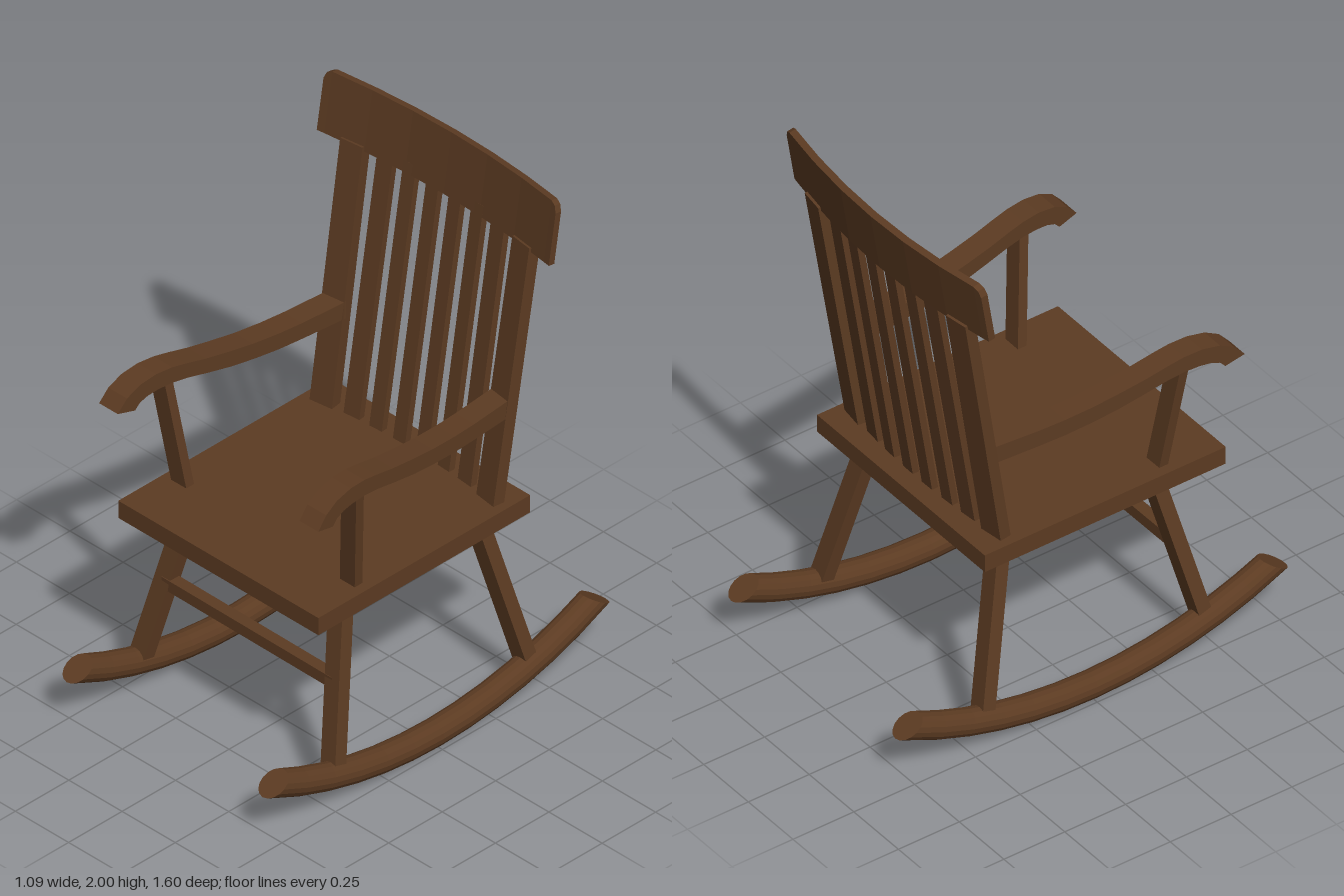
import * as THREE from 'three';

const wood = new THREE.MeshStandardMaterial({ color: 0x5c3b22 });
wood.name = 'brown wood';

// Closed, faceted solid through a list of equal-sized cross-sections
function loft(rings) {
  const n = rings[0].length, last = (rings.length - 1) * n, index = [];
  for (let i = 0; i < rings.length - 1; i++) {
    for (let j = 0; j < n; j++) {
      const a = i * n + j, b = i * n + (j + 1) % n;
      index.push(a, b, b + n, a, b + n, a + n);
    }
  }
  for (let j = 1; j < n - 1; j++) {
    index.push(0, j + 1, j, last, last + j, last + j + 1);
  }
  const g = new THREE.BufferGeometry();
  g.setAttribute('position', new THREE.Float32BufferAttribute(rings.flat(2), 3));
  g.setIndex(index);
  const flat = g.toNonIndexed();
  flat.computeVertexNormals();
  return flat;
}

// Square-section bar between two points, optionally turned about its own axis
function beam(from, to, width, depth, yaw = 0) {
  const a = new THREE.Vector3(...from), b = new THREE.Vector3(...to);
  const dir = b.clone().sub(a), length = dir.length();
  const g = new THREE.BoxGeometry(width, length, depth);
  g.rotateY(yaw);
  g.applyQuaternion(new THREE.Quaternion().setFromUnitVectors(new THREE.Vector3(0, 1, 0), dir.normalize()));
  const mid = a.add(b).multiplyScalar(0.5);
  g.translate(mid.x, mid.y, mid.z);
  return g;
}

// The back is curved in plan (ends forward) and leans backwards
const BOW = 0.05, HALF = 0.545, LEAN = 0.16;
const bow = (x) => BOW * (x / HALF) ** 2;
const backZ = (x, y) => -0.36 + bow(x) - LEAN * (y - 0.8);
const bowYaw = (x) => -Math.atan(2 * BOW * x / HALF ** 2);

function rockerGeometry(x) {
  const R = 1.72, r = 0.05, end = 0.451, segs = 12, sides = 16, rings = [];
  for (let i = 0; i <= segs; i++) {
    const p = end * (2 * i / segs - 1);
    const slant = i === 0 ? 0.65 : i === segs ? -0.65 : 0; // sloping end cuts
    const ring = [];
    for (let j = 0; j < sides; j++) {
      const a = j / sides * Math.PI * 2, v = r * Math.sin(a), t = slant * v;
      ring.push([
        x + r * Math.cos(a),
        R + r - R * Math.cos(p) + v * Math.cos(p) + t * Math.sin(p),
        R * Math.sin(p) - v * Math.sin(p) + t * Math.cos(p),
      ]);
    }
    rings.push(ring);
  }
  return loft(rings);
}

function crestGeometry() {
  const h = 0.235, t = 0.013;
  const stations = [-0.545, -0.535, -0.515, -0.35, -0.175, 0, 0.175, 0.35, 0.515, 0.535, 0.545];
  return loft(stations.map((x) => {
    const ax = Math.abs(x);
    const top = ax > 0.54 ? h - 0.035 : ax > 0.52 ? h - 0.01 : h; // softened corners
    const z = bow(x) - BOW;
    return [[x, 0, z - t], [x, top, z - t], [x, top, z + t], [x, 0, z + t]];
  }));
}

// Arm side profile, back to front: bottom z, bottom y, top z, top y
const ARM = [
  [-0.39, 1.132, -0.39, 1.2], [-0.2, 1.136, -0.2, 1.2], [-0.1, 1.14, -0.1, 1.204],
  [0, 1.15, 0.01, 1.214], [0.1, 1.164, 0.115, 1.23], [0.2, 1.185, 0.215, 1.248],
  [0.29, 1.206, 0.3, 1.268], [0.36, 1.217, 0.36, 1.28], [0.42, 1.218, 0.43, 1.284],
  [0.465, 1.213, 0.5, 1.272], [0.5, 1.2, 0.555, 1.243], [0.52, 1.178, 0.595, 1.198],
];

function armGeometry(side) {
  const w = 0.044;
  const cx = (z) => side * (0.39 + 0.084 * (z + 0.37));
  return loft(ARM.map(([bz, by, tz, ty]) => [
    [cx(bz) - w, by, bz], [cx(bz) + w, by, bz], [cx(tz) + w, ty, tz], [cx(tz) - w, ty, tz],
  ]));
}

export function createModel() {
  const chair = new THREE.Group();
  chair.name = 'rockingChair';
  const add = (name, geometry) => {
    const mesh = new THREE.Mesh(geometry, wood);
    mesh.name = name;
    chair.add(mesh);
    return mesh;
  };

  // Seat and front stretcher
  add('seat', new THREE.BoxGeometry(0.94, 0.07, 0.99)).position.set(0, 0.765, 0.055);
  add('frontStretcher', beam([-0.4, 0.436, 0.395], [0.4, 0.43, 0.395], 0.045, 0.045));

  // Top rail of the back
  const crest = add('crestRail', crestGeometry());
  crest.position.set(0, 1.765, -0.465);
  crest.rotation.x = -LEAN;

  // Slats
  for (const x of [-0.266, -0.16, -0.053, 0.053, 0.16, 0.266]) {
    const width = Math.abs(x) > 0.2 ? 0.068 : 0.056;
    add('backSlat', beam([x, 0.76, backZ(x, 0.76)], [x, 1.8, backZ(x, 1.8)], width, 0.025, bowYaw(x)));
  }

  // Parts on both sides
  for (const s of [1, -1]) {
    const side = s > 0 ? 'left' : 'right';
    add(side + 'Rocker', rockerGeometry(s * 0.46));
    add(side + 'FrontLeg', beam([s * 0.457, 0.1, 0.47], [s * 0.35, 0.745, 0.322], 0.068, 0.052));
    add(side + 'BackLeg', beam([s * 0.457, 0.1, -0.442], [s * 0.35, 0.745, -0.294], 0.068, 0.052));
    add(side + 'BackPost', beam(
      [s * 0.388, 0.76, backZ(0.39, 0.76)], [s * 0.401, 1.778, backZ(0.4, 1.778)],
      0.093, 0.045, bowYaw(s * 0.4)));
    add(side + 'Arm', armGeometry(s));
    add(side + 'ArmPost', beam([s * 0.392, 0.77, 0.32], [s * 0.452, 1.24, 0.372], 0.07, 0.036));
  }
  return chair;
}
